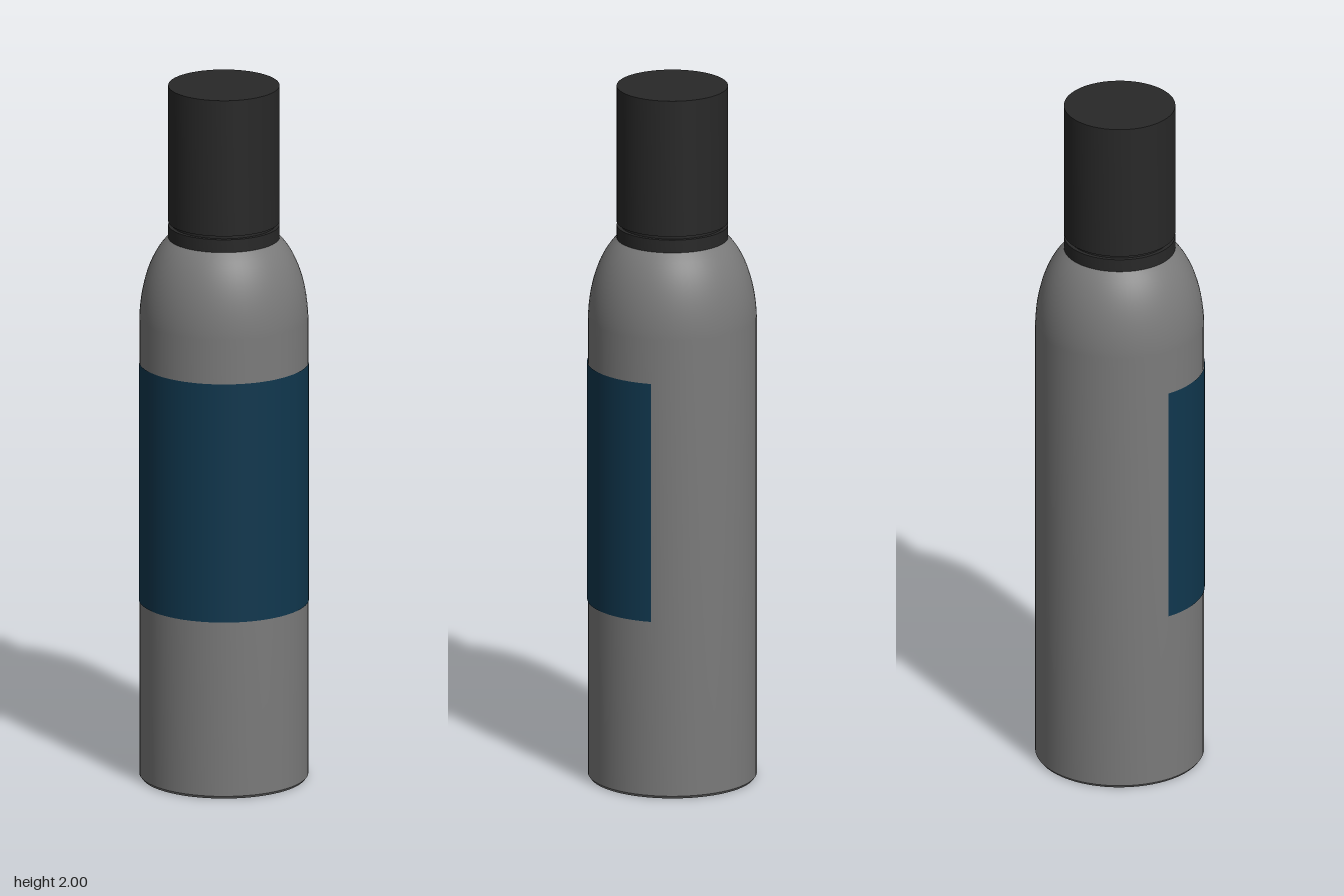
import * as THREE from 'three';
import { toCreasedNormals } from 'three/addons/utils/BufferGeometryUtils.js';

const SEGMENTS = 64;

function material(name, color) {
  const m = new THREE.MeshStandardMaterial({ color });
  m.name = name;
  return m;
}

// Turned part from [radius, height] pairs listed bottom to top
function turned(name, profile, mat) {
  const points = profile.map(([r, y]) => new THREE.Vector2(r, y));
  const geometry = toCreasedNormals(new THREE.LatheGeometry(points, SEGMENTS), 0.5);
  const mesh = new THREE.Mesh(geometry, mat);
  mesh.name = name;
  return mesh;
}

export function createModel() {
  const bodyGrey = material('body grey', 0x7a7a7a);
  const capBlack = material('cap black', 0x282828);
  const labelBlue = material('label blue', 0x10374e);
  labelBlue.side = THREE.DoubleSide;

  const group = new THREE.Group();
  group.name = 'bottle';

  // Straight body with a small foot bevel and a rounded shoulder
  const shoulder = new THREE.CubicBezierCurve(
    new THREE.Vector2(0.235, 1.33), new THREE.Vector2(0.232, 1.42),
    new THREE.Vector2(0.207, 1.51), new THREE.Vector2(0.155, 1.56)
  ).getPoints(14).map((p) => [p.x, p.y]);
  group.add(turned('body', [[0, 0], [0.229, 0], [0.235, 0.008], ...shoulder, [0, 1.56]], bodyGrey));

  // Collar ring, with a narrow groove between it and the cap
  group.add(turned('collar', [
    [0, 1.555], [0.155, 1.555], [0.155, 1.597], [0.144, 1.597], [0.144, 1.615]
  ], capBlack));

  // Cylindrical cap
  group.add(turned('cap', [[0, 1.607], [0.155, 1.607], [0.155, 2], [0, 2]], capBlack));

  // Label wrapped around the front half
  const label = new THREE.Mesh(
    new THREE.CylinderGeometry(0.237, 0.237, 0.69, SEGMENTS / 2, 1, true, -Math.PI / 2, Math.PI),
    labelBlue
  );
  label.name = 'label';
  label.position.y = 0.857;
  group.add(label);

  return group;
}
